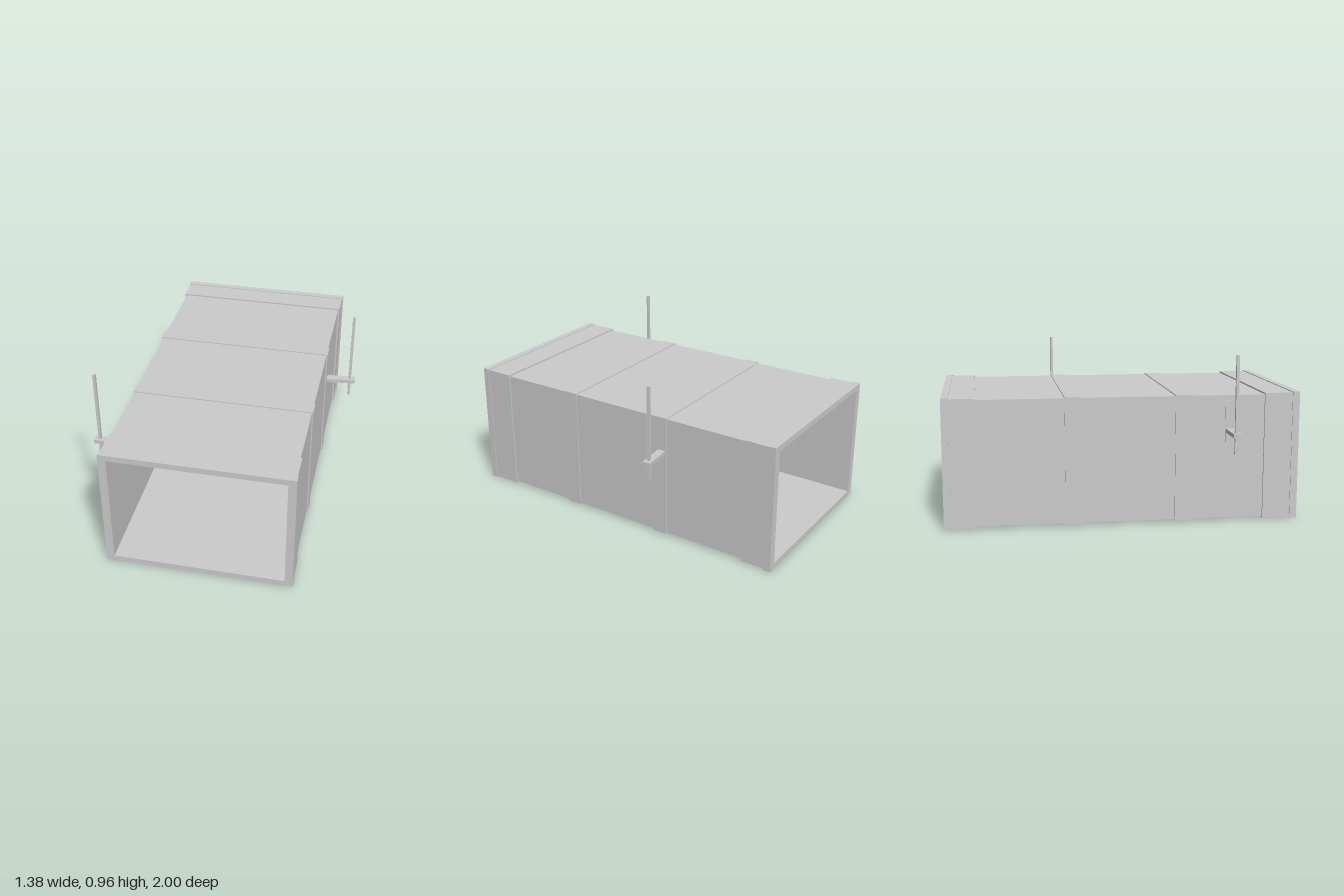
import * as THREE from 'three';

const CX = -0.005, CY = 0.369; // axis of the duct
const INNER_W = 0.96, INNER_H = 0.665;

export function createModel() {
  const model = new THREE.Group();
  const material = new THREE.MeshStandardMaterial({ color: 0xcccccc, flatShading: true });

  const rectangle = (Type, w, h) => {
    const r = new Type();
    r.moveTo(-w / 2, -h / 2);
    r.lineTo(w / 2, -h / 2);
    r.lineTo(w / 2, h / 2);
    r.lineTo(-w / 2, h / 2);
    r.closePath();
    return r;
  };

  // Rectangular sleeve open along z, from z0 to z1
  const sleeve = (name, w, h, z0, z1) => {
    const shape = rectangle(THREE.Shape, w, h);
    shape.holes.push(rectangle(THREE.Path, INNER_W, INNER_H));
    const geometry = new THREE.ExtrudeGeometry(shape, { depth: z1 - z0, bevelEnabled: false });
    const mesh = new THREE.Mesh(geometry, material);
    mesh.name = name;
    mesh.position.set(CX, CY, z0);
    model.add(mesh);
  };

  const box = (parent, name, w, h, d, x, y, z) => {
    const mesh = new THREE.Mesh(new THREE.BoxGeometry(w, h, d), material);
    mesh.name = name;
    mesh.position.set(x, y, z);
    parent.add(mesh);
  };

  // Duct wall with two raised bands
  sleeve('ductBody', 1.02, 0.706, -0.82, 0.8);
  sleeve('frontBand', 1.034, 0.718, 0.29, 0.38);
  sleeve('backBand', 1.034, 0.718, -0.33, -0.24);

  // Collars and end flanges
  sleeve('frontCollar', 1.04, 0.724, 0.8, 0.96);
  sleeve('backCollar', 1.04, 0.724, -0.96, -0.82);
  sleeve('frontFlange', 1.05, 0.733, 0.96, 1);
  sleeve('backFlange', 1.05, 0.733, -1, -0.96);

  // Side hangers: wall plate, arm and upright rod
  const hanger = (name, side, z, turn) => {
    const group = new THREE.Group();
    group.name = name;
    group.position.set(CX + side * 0.506, 0, z);
    box(group, 'wallPlate', 0.012, 0.25, 0.05, side * 0.004, 0.565, 0);
    const swing = new THREE.Group();
    swing.name = 'armAndRod';
    swing.rotation.y = turn;
    box(swing, 'arm', 0.18, 0.023, 0.046, side * 0.092, 0.521, 0);
    box(swing, 'rod', 0.016, 0.545, 0.016, side * 0.15, 0.688, 0);
    group.add(swing);
    model.add(group);
  };
  hanger('leftHanger', 1, -0.3, 0.09);
  hanger('rightHanger', -1, 0.6, 0);

  return model;
}
